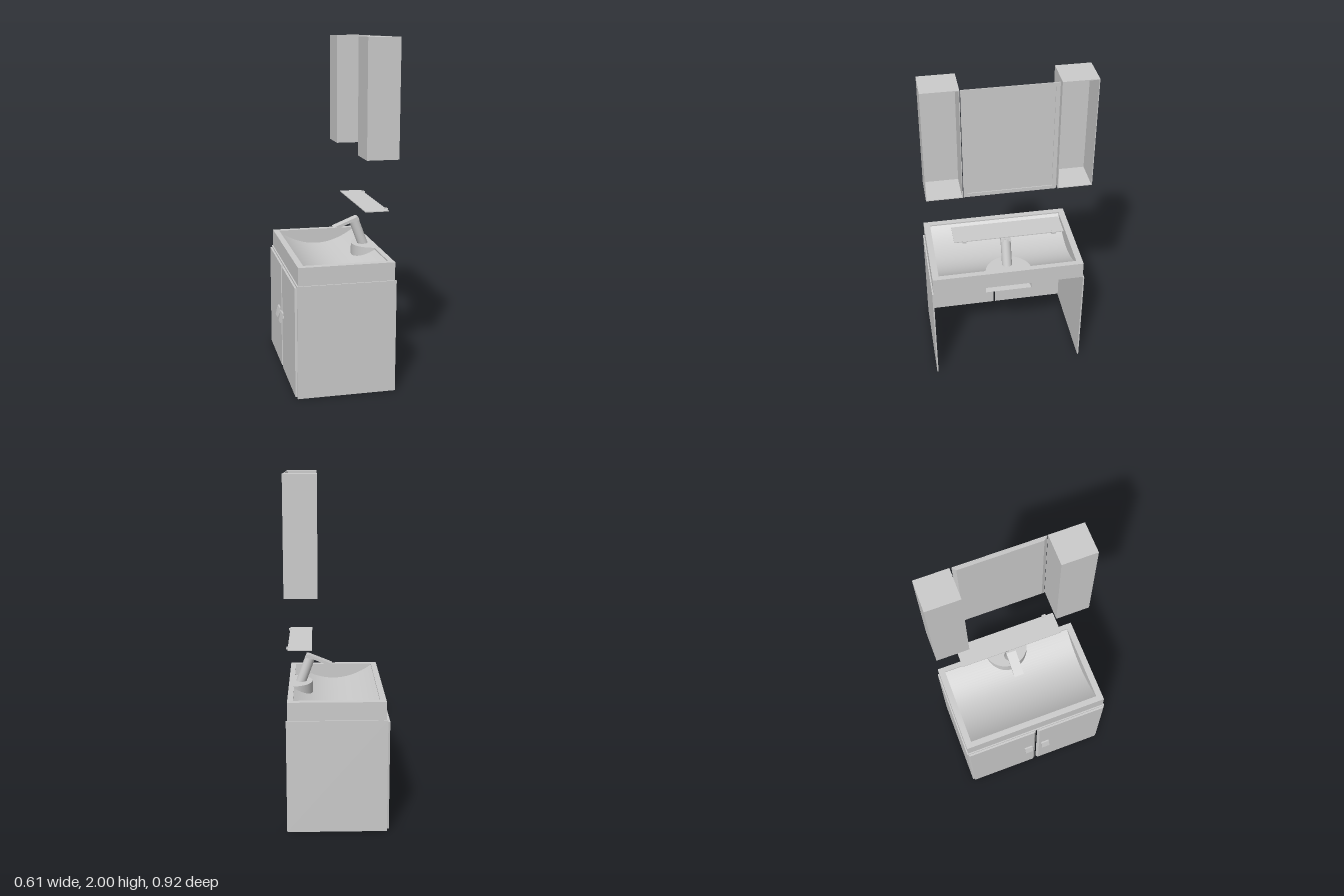
import * as THREE from 'three';

const mat = new THREE.MeshStandardMaterial({ color: 0xcccccc, side: THREE.DoubleSide });

export function createModel() {
  const root = new THREE.Group();

  const add = (name, geo, parent = root) => {
    const m = new THREE.Mesh(geo, mat);
    m.name = name;
    parent.add(m);
    return m;
  };
  const group = (name) => {
    const g = new THREE.Group();
    g.name = name;
    root.add(g);
    return g;
  };
  // box given by its limits
  const box = (name, x0, x1, y0, y1, z0, z1, parent) =>
    add(name, new THREE.BoxGeometry(x1 - x0, y1 - y0, z1 - z0)
      .translate((x0 + x1) / 2, (y0 + y1) / 2, (z0 + z1) / 2), parent);
  // plan outline of [x, z] points, raised from y0 to y1
  const outline = (pts) => pts.map(([x, z]) => new THREE.Vector2(x, -z));
  const prism = (name, pts, y0, y1, parent, hole) => {
    const shape = new THREE.Shape(outline(pts));
    if (hole) shape.holes.push(new THREE.Path(outline(hole)));
    const geo = new THREE.ExtrudeGeometry(shape, { depth: y1 - y0, bevelEnabled: false });
    return add(name, geo.rotateX(-Math.PI / 2).translate(0, y0, 0), parent);
  };
  const rect = (x0, x1, z) => [[x0, -z], [x1, -z], [x1, z], [x0, z]];
  // side profile of [x, y] points, widened along z
  const profile = (name, pts, z0, z1, parent) => {
    const shape = new THREE.Shape(pts.map(([x, y]) => new THREE.Vector2(x, y)));
    const geo = new THREE.ExtrudeGeometry(shape, { depth: z1 - z0, bevelEnabled: false });
    return add(name, geo.translate(0, 0, z0), parent);
  };

  // Vanity: two side panels and two doors facing -x, open at the back and below
  const vanity = group('vanityCabinet');
  for (const s of [1, -1]) {
    const zs = (a, b) => [Math.min(s * a, s * b), Math.max(s * a, s * b)];
    box('sidePanel', -0.268, 0.3, 0, 0.66, ...zs(0.45, 0.458), vanity);
    prism('door', [[-0.268, s * 0.004], [-0.28, s * 0.018], [-0.28, s * 0.446], [-0.268, s * 0.45]],
      0.01, 0.65, vanity);
    const [h0, h1] = zs(0.032, 0.083);
    profile('doorHandle', [[-0.28, 0.355], [-0.28, 0.345], [-0.289, 0.345], [-0.3, 0.32],
      [-0.306, 0.322], [-0.292, 0.38], [-0.283, 0.38], [-0.287, 0.355]], h0, h1, vanity);
  }
  box('topRail', -0.268, -0.256, 0.65, 0.66, -0.45, 0.45, vanity);

  // Basin: outer wall, flat rim, scooped bowl and its end walls
  const basin = group('basin');
  const X0 = -0.225, X1 = 0.26, ZB = 0.412, YT = 0.757, SAG = 0.085;
  const dip = (x) => {
    const t = (2 * x - X0 - X1) / (X1 - X0);
    return YT - SAG * (1 - t * t);
  };
  prism('outerWall', rect(-0.26, 0.292, 0.45), 0.66, 0.765, basin, rect(-0.252, 0.284, 0.442));
  prism('rim', rect(-0.26, 0.292, 0.45), YT, 0.765, basin, rect(X0, X1, ZB));
  const bowl = new THREE.PlaneGeometry(X1 - X0, 2 * ZB, 32, 1)
    .rotateX(-Math.PI / 2).translate((X0 + X1) / 2, 0, 0);
  const p = bowl.attributes.position;
  for (let i = 0; i < p.count; i++) p.setY(i, dip(p.getX(i)));
  bowl.computeVertexNormals();
  add('bowl', bowl, basin);
  const arc = [];
  for (let i = 0; i <= 24; i++) {
    const x = X0 + (X1 - X0) * i / 24;
    arc.push(new THREE.Vector2(x, dip(x)));
  }
  for (const z of [-ZB, ZB])
    add('bowlEnd', new THREE.ShapeGeometry(new THREE.Shape(arc)).translate(0, 0, z), basin);

  // Half-round tap ledge reaching below the basin
  add('tapLedge', new THREE.CylinderGeometry(0.137, 0.137, 0.146, 32, 1, false, Math.PI, Math.PI)
    .translate(0.288, 0.694, 0), basin);

  // Tap: leaning column with a flat drooping spout
  const tap = group('tap');
  const foot = new THREE.Vector3(0.222, 0.76, 0), head = new THREE.Vector3(0.163, 0.918, 0);
  const dir = head.clone().sub(foot);
  const column = add('tapColumn', new THREE.CylinderGeometry(0.03, 0.03, dir.length(), 24), tap);
  column.position.copy(foot).add(head).multiplyScalar(0.5);
  column.quaternion.setFromUnitVectors(new THREE.Vector3(0, 1, 0), dir.normalize());
  profile('tapSpout', [[0.035, 0.877], [0.075, 0.875], [0.14, 0.902], [0.192, 0.915],
    [0.186, 0.934], [0.175, 0.934]], -0.03, 0.03, tap);

  // Shelf with two small brackets
  const shelf = group('shelf');
  box('shelfPlate', 0.153, 0.29, 1.026, 1.031, -0.315, 0.315, shelf);
  for (const z of [-0.257, 0.257])
    box('shelfBracket', 0.28, 0.298, 1.023, 1.034, z - 0.012, z + 0.012, shelf);

  // Wall cabinets: top, bottom, sides and door, open at the back
  for (const s of [1, -1]) {
    const g = group('wallCabinet');
    const a = s > 0 ? 0.258 : -0.458, b = s > 0 ? 0.458 : -0.264, t = 0.004;
    box('cabinetDoor', 0.12, 0.127, 1.345, 2, a, b, g);
    for (const z of [a, b - t]) box('cabinetSide', 0.127, 0.302, 1.345, 2, z, z + t, g);
    for (const y of [1.345, 2 - t]) box('cabinetShelf', 0.127, 0.302, y, y + t, a + t, b - t, g);
  }

  // Mirror: plate with bevelled edges and a backing frame
  const mirror = group('mirror');
  const plate = new THREE.BoxGeometry(0.008, 0.65, 0.505);
  const q = plate.attributes.position;
  for (let i = 0; i < q.count; i++) {
    if (q.getX(i) < 0) {
      q.setY(i, q.getY(i) - Math.sign(q.getY(i)) * 0.018);
      q.setZ(i, q.getZ(i) - Math.sign(q.getZ(i)) * 0.018);
    }
  }
  const flat = plate.toNonIndexed();
  flat.computeVertexNormals();
  add('mirrorPlate', flat.translate(0.292, 1.673, 0), mirror);
  for (const s of [1, -1]) {
    box('frameSide', 0.296, 0.301, 1.347, 2, s * 0.243 - 0.011, s * 0.243 + 0.011, mirror);
    const y = 1.6735 + s * 0.3155;
    box('frameRail', 0.296, 0.301, y - 0.011, y + 0.011, -0.232, 0.232, mirror);
  }
  return root;
}
